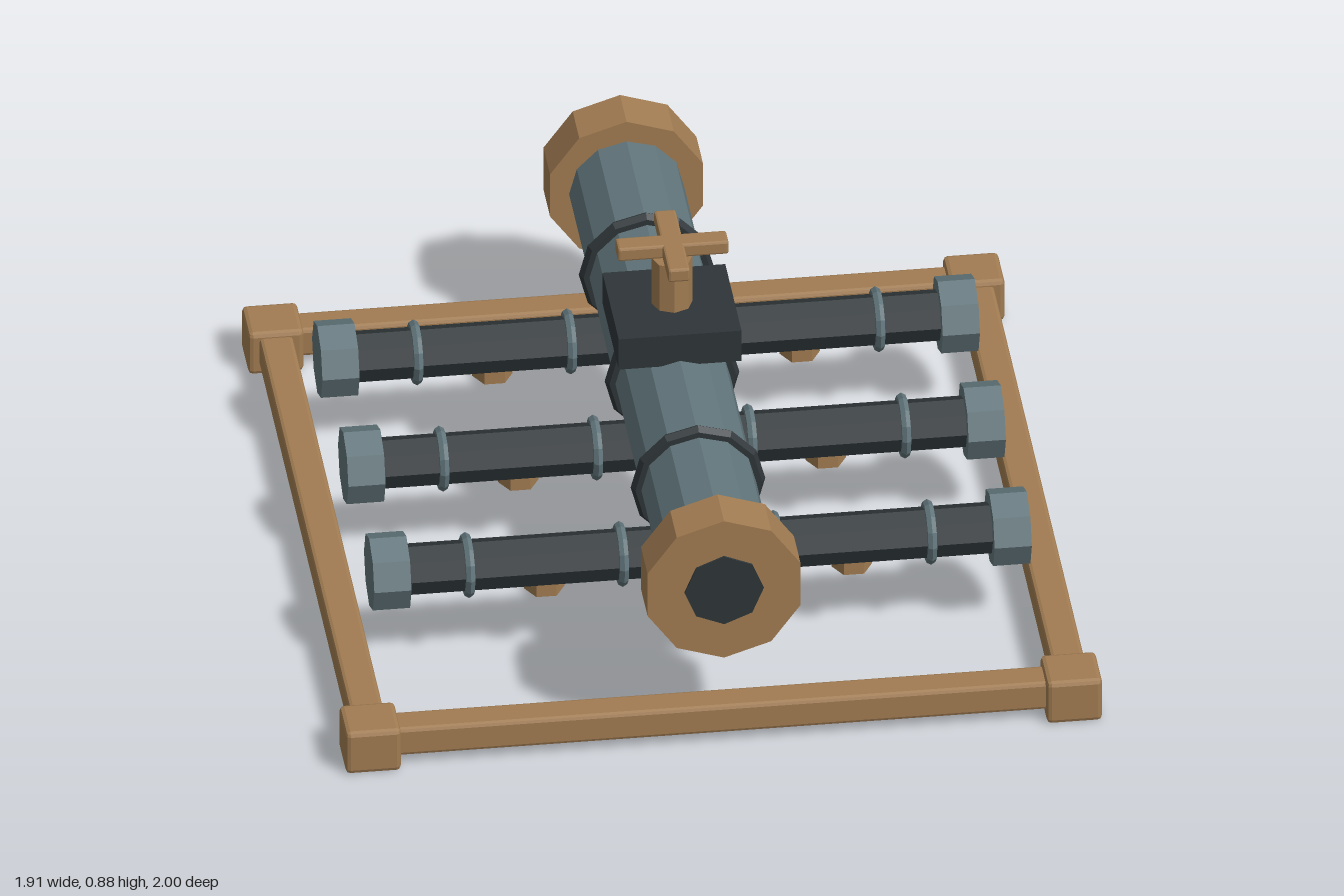
import * as THREE from 'three';
import { RoundedBoxGeometry } from 'three/addons/geometries/RoundedBoxGeometry.js';

const paint = (color) => {
  const m = new THREE.MeshStandardMaterial({ flatShading: true });
  m.color.set(color);
  return m;
};
const bronze = paint(0xa17c52);
const steel = paint(0x61757b);
const dark = paint(0x2e3538);

export function createModel() {
  const model = new THREE.Group();

  const add = (parent, name, geometry, material, x, y, z) => {
    const mesh = new THREE.Mesh(geometry, material);
    mesh.name = name;
    mesh.position.set(x, y, z);
    parent.add(mesh);
    return mesh;
  };
  const group = (name) => {
    const g = new THREE.Group();
    g.name = name;
    model.add(g);
    return g;
  };
  // Cylinders lying along z or x
  const rodZ = (r, length, sides) => new THREE.CylinderGeometry(r, r, length, sides).rotateX(Math.PI / 2);
  const rodX = (r, length, sides) => new THREE.CylinderGeometry(r, r, length, sides).rotateZ(Math.PI / 2);
  const bar = (w, h, d, bevel = 0.01) => new RoundedBoxGeometry(w, h, d, 1, bevel);

  // Base frame with corner blocks
  const frame = group('baseFrame');
  for (const s of [-1, 1]) {
    add(frame, 'crossRail', bar(1.7, 0.08, 0.085), bronze, 0, 0.067, s * 0.93);
    add(frame, 'sideRail', bar(0.085, 0.08, 1.8), bronze, s * 0.885, 0.067, 0);
    for (const t of [-1, 1]) {
      add(frame, 'cornerBlock', bar(0.14, 0.122, 0.14, 0.012), bronze, s * 0.885, 0.061, t * 0.93);
    }
  }

  // Main pipe with end flanges and bores
  const pipeY = 0.468;
  const main = group('mainPipe');
  add(main, 'pipeBody', rodZ(0.145, 1.8, 12), steel, 0, pipeY, 0);
  for (const s of [-1, 1]) {
    add(main, 'endFlange', rodZ(0.203, 0.125, 10), bronze, 0, pipeY, s * 0.93);
    add(main, 'flangeBore', rodZ(0.1, 0.03, 8), dark, 0, pipeY, s * 0.983);
  }

  // Three branch pipes, each crossing below the main pipe
  const branchY = 0.272;
  for (const z of [-0.495, 0, 0.495]) {
    const branch = group('branch');
    add(branch, 'mainPipeBand', new THREE.TorusGeometry(0.15, 0.02, 6, 12), dark, 0, pipeY, z);
    add(branch, 'junctionHub', new THREE.SphereGeometry(0.125, 8, 5), dark, 0, branchY, z);
    add(branch, 'supportPost', new THREE.BoxGeometry(0.095, 0.15, 0.095), bronze, 0, 0.105, z);
    add(branch, 'branchPipe', rodX(0.066, 1.6, 8), dark, 0, branchY, z);
    for (const s of [-1, 1]) {
      add(branch, 'endCap', rodX(0.099, 0.094, 8), steel, s * 0.783, branchY, z);
      for (const x of [0.195, 0.583]) {
        const ring = new THREE.TorusGeometry(0.07, 0.013, 6, 12).rotateY(Math.PI / 2);
        add(branch, 'pipeRing', ring, steel, s * x, branchY, z);
      }
      const bolt = new THREE.CylinderGeometry(0.051, 0.051, 0.05, 6).rotateY(Math.PI / 2);
      add(branch, 'underBolt', bolt, bronze, s * 0.388, 0.215, z);
    }
  }

  // Valve block, stem and cross handle
  const valve = group('valve');
  add(valve, 'valveBlock', new THREE.BoxGeometry(0.31, 0.09, 0.31), dark, 0, 0.645, 0);
  add(valve, 'valveStem', new THREE.CylinderGeometry(0.052, 0.052, 0.15, 8), bronze, 0, 0.75, 0);
  add(valve, 'handleBarX', bar(0.28, 0.038, 0.055, 0.006), bronze, 0, 0.856, 0);
  add(valve, 'handleBarZ', bar(0.055, 0.038, 0.28, 0.006), bronze, 0, 0.856, 0);

  return model;
}
